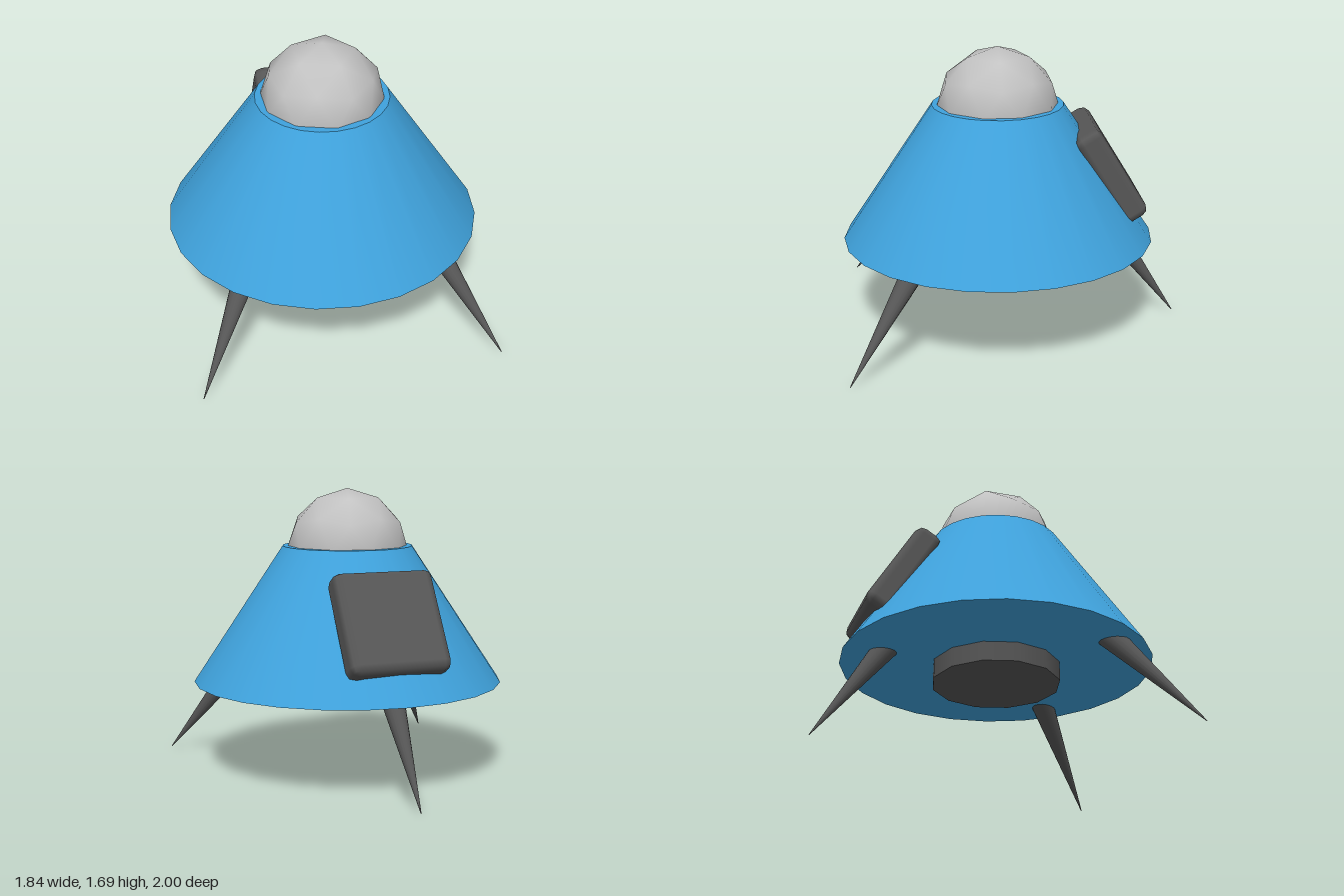
import * as THREE from 'three';
import { RoundedBoxGeometry } from 'three/addons/geometries/RoundedBoxGeometry.js';

export function createModel() {
  const model = new THREE.Group();
  model.name = 'spaceCapsule';
  const material = (name, color) => {
    const m = new THREE.MeshStandardMaterial({ color });
    m.name = name;
    return m;
  };
  const blue = material('blueHull', 0x3fa2dc);
  const dark = material('darkGrey', 0x565656);
  const light = material('lightGrey', 0xc2c2c2);

  const add = (name, geometry, mat, x, y, z) => {
    const mesh = new THREE.Mesh(geometry, mat);
    mesh.name = name;
    mesh.position.set(x, y, z);
    model.add(mesh);
    return mesh;
  };
  const axisZ = 0.08; // the body sits slightly forward of the legs' extent

  // Conical hull with flat top and underside
  add('hull', new THREE.CylinderGeometry(0.386, 0.918, 0.805, 24), blue, 0, 0.9475, axisZ);

  // Engine drum below the hull
  add('engine', new THREE.CylinderGeometry(0.378, 0.378, 0.17, 12), dark, 0, 0.515, axisZ);

  // Faceted dome, turned so that a vertex points straight up
  const dome = new THREE.IcosahedronGeometry(0.36, 1);
  dome.rotateZ(Math.atan(2 / (1 + Math.sqrt(5))));
  dome.rotateY(Math.PI);
  add('dome', dome, light, 0, 1.328, axisZ);

  // Hatch lying on the rear slope
  const hatch = add('hatch', new RoundedBoxGeometry(0.6, 0.61, 0.17, 1, 0.05), dark, 0, 0.96, -0.558);
  hatch.rotation.x = 0.547;

  // Three pointed legs, each from a point inside the hull to its tip on the ground
  const up = new THREE.Vector3(0, 1, 0);
  const addLeg = (name, top, tip) => {
    const a = new THREE.Vector3(...top);
    const b = new THREE.Vector3(...tip);
    const axis = a.clone().sub(b);
    const mid = a.add(b).multiplyScalar(0.5);
    const leg = add(name, new THREE.CylinderGeometry(0.073, 0.002, axis.length(), 16), dark, mid.x, mid.y, mid.z);
    leg.quaternion.setFromUnitVectors(up, axis.normalize());
  };
  for (const [name, side] of [['frontLeftLeg', 1], ['frontRightLeg', -1]]) {
    addLeg(name, [0.53 * side, 0.6, 0.56], [0.877 * side, 0, 0.962]);
  }
  addLeg('backLeg', [0, 0.6, -0.57], [0, 0, -1]);

  return model;
}
